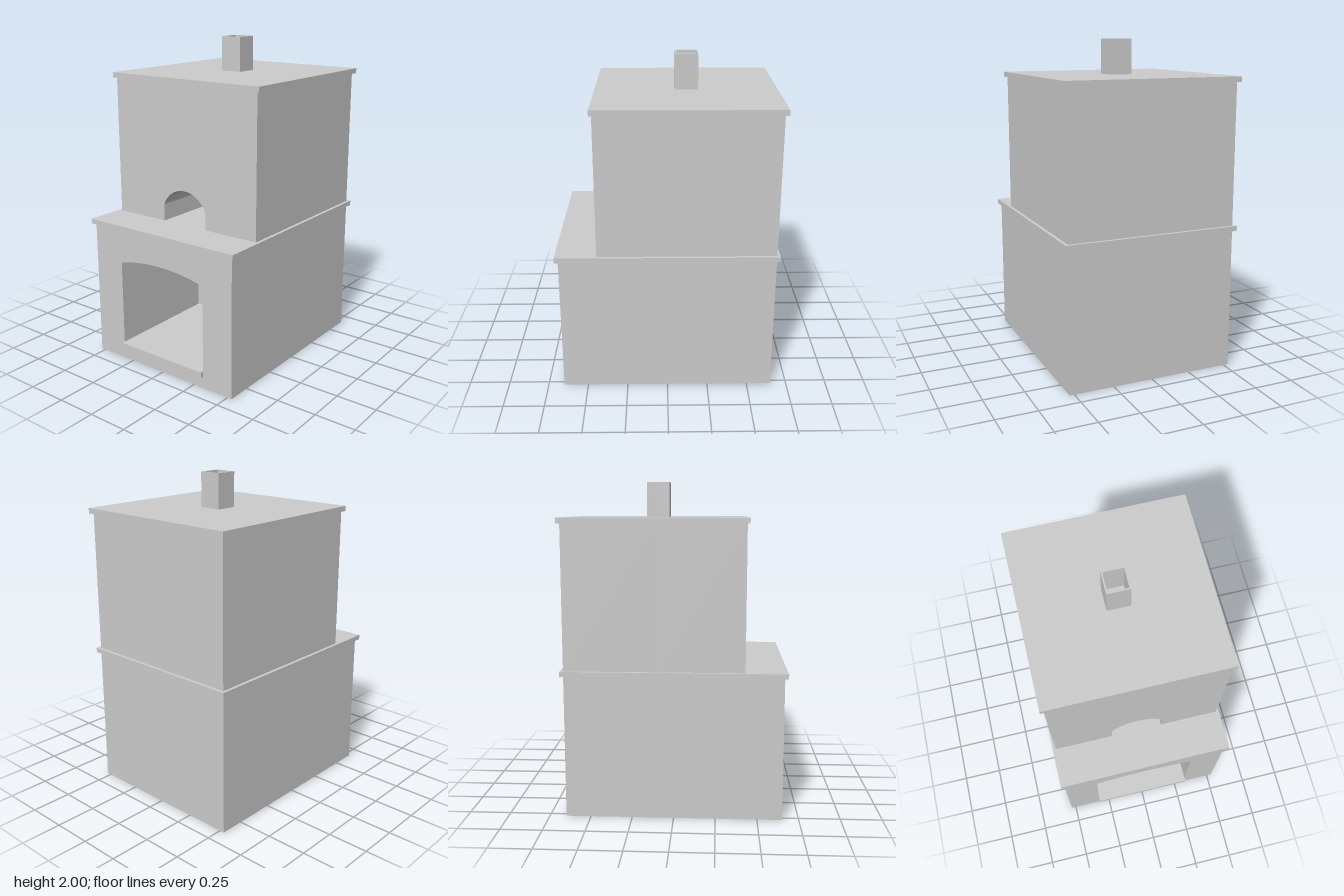
import * as THREE from 'three';

const material = new THREE.MeshStandardMaterial({ color: 0xcccccc, flatShading: true });

export function createModel() {
  const model = new THREE.Group();

  const add = (name, geometry) => {
    const mesh = new THREE.Mesh(geometry, material);
    mesh.name = name;
    model.add(mesh);
  };

  // Box given by its half width and its y and z ranges
  const block = (name, halfW, y0, y1, z0, z1) =>
    add(name, new THREE.BoxGeometry(2 * halfW, y1 - y0, z1 - z0)
      .translate(0, (y0 + y1) / 2, (z0 + z1) / 2));

  const rect = (w, h) => [[-w, -h], [w, -h], [w, h], [-w, h]].map(([x, y]) => new THREE.Vector2(x, y));

  // Front masonry with an arched opening cut up from its lower edge
  const archedWall = (name, halfW, y0, y1, z0, z1, o) => {
    const rise = o.peak - o.spring;
    const radius = (o.half ** 2 + rise ** 2) / (2 * rise);
    const angle = Math.asin(o.half / radius);
    const s = new THREE.Shape();
    s.moveTo(-halfW, y0);
    s.lineTo(-o.half, y0);
    s.lineTo(-o.half, o.spring);
    s.absarc(0, o.peak - radius, radius, Math.PI / 2 + angle, Math.PI / 2 - angle, true);
    s.lineTo(o.half, y0);
    s.lineTo(halfW, y0);
    s.lineTo(halfW, y1);
    s.lineTo(-halfW, y1);
    s.closePath();
    add(name, new THREE.ExtrudeGeometry(s, { depth: z1 - z0, bevelEnabled: false, curveSegments: 24 })
      .translate(0, 0, z0));
  };

  // Lower body with the firebox
  const back = -0.1;
  block('lowerBase', 0.53, 0, 0.075, -0.65, 0.65);
  block('lowerBack', 0.53, 0.075, 0.865, -0.65, back);
  archedWall('lowerFront', 0.53, 0.075, 0.865, back, 0.65, { half: 0.32, spring: 0.65, peak: 0.69 });
  block('hearthSlab', 0.32, 0.075, 0.11, back, 0.67);

  // Middle ledge
  block('middleLedge', 0.55, 0.865, 0.895, -0.67, 0.67);

  // Upper body with the arched niche
  block('upperBack', 0.53, 0.895, 1.755, -0.65, back);
  archedWall('upperFront', 0.53, 0.895, 1.755, back, 0.42, { half: 0.162, spring: 1.0, peak: 1.11 });

  // Top slab
  block('topSlab', 0.55, 1.755, 1.787, -0.67, 0.435);

  // Hollow square chimney
  const flue = new THREE.Shape(rect(0.07, 0.07));
  flue.holes.push(new THREE.Path(rect(0.06, 0.06)));
  add('chimney', new THREE.ExtrudeGeometry(flue, { depth: 0.213, bevelEnabled: false })
    .rotateX(-Math.PI / 2).translate(0, 1.787, -0.12));

  return model;
}
